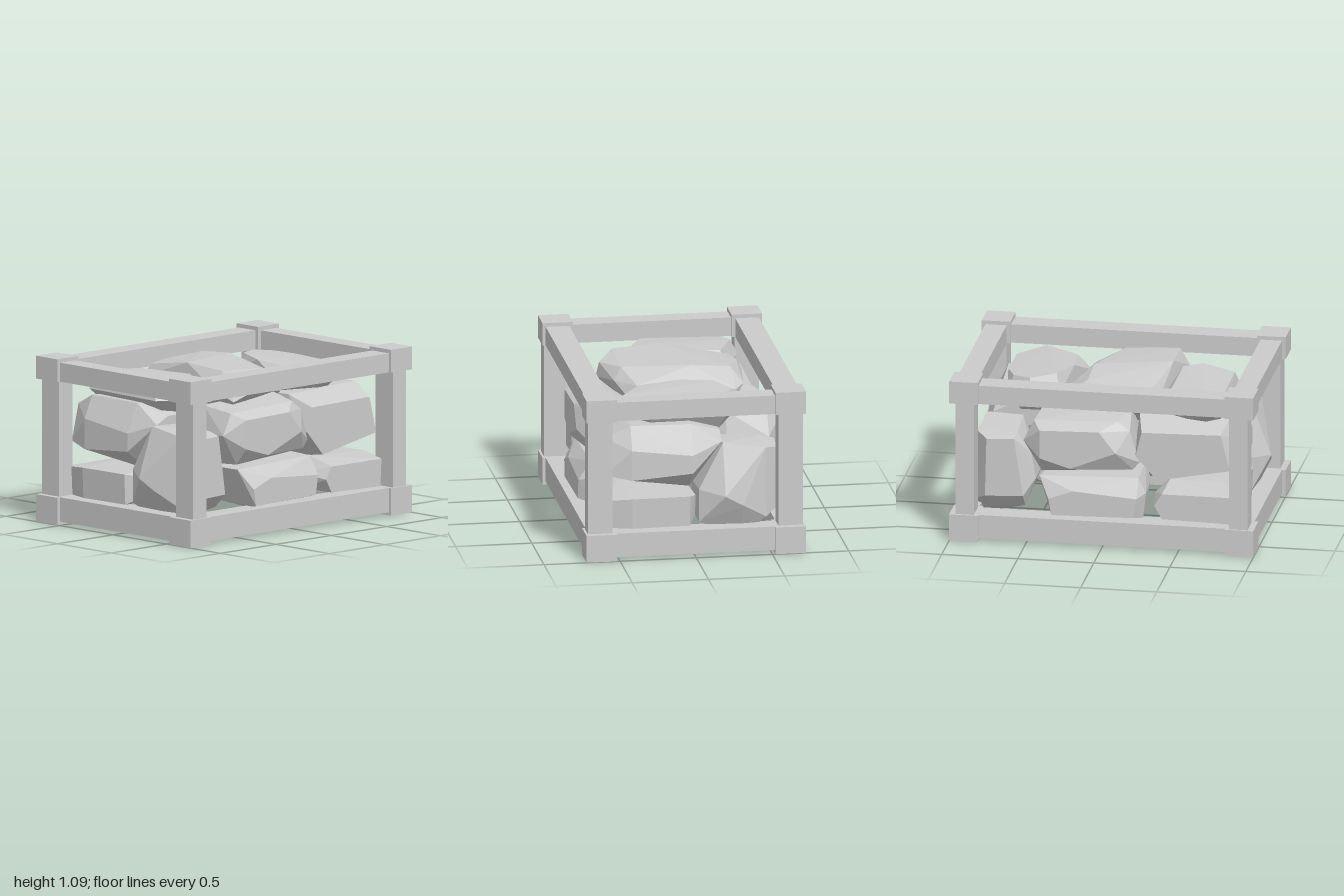
import * as THREE from 'three';
import { ConvexGeometry } from 'three/addons/geometries/ConvexGeometry.js';

const material = new THREE.MeshStandardMaterial({ color: 0xcccccc, flatShading: true });

function box(parent, name, size, pos) {
  const mesh = new THREE.Mesh(new THREE.BoxGeometry(...size), material);
  mesh.name = name;
  mesh.position.set(...pos);
  parent.add(mesh);
}

// Slab: hull around loose corners [x, y, z]
function slab(name, corners) {
  const mesh = new THREE.Mesh(new ConvexGeometry(corners.map((c) => new THREE.Vector3(...c))), material);
  mesh.name = name;
  return mesh;
}

// Faceted boulder: hull around cross-sections along z, each [z, [x, y], ...]
function rock(name, slices) {
  return slab(name, slices.flatMap(([z, ...outline]) => outline.map(([x, y]) => [x, y, z])));
}

function buildFrame() {
  const frame = new THREE.Group();
  frame.name = 'frame';
  for (const sx of [-1, 1]) {
    for (const sz of [-1, 1]) {
      box(frame, 'lowerCornerBlock', [0.19, 0.18, 0.2], [sx * 0.905, 0.09, sz * 0.62]);
      box(frame, 'upperCornerBlock', [0.19, 0.15, 0.2], [sx * 0.905, 1.015, sz * 0.62]);
      box(frame, 'post', [0.12, 0.8, 0.16], [sx * 0.9, 0.56, sz * 0.625]);
    }
    box(frame, 'lowerSideRail', [0.14, 0.16, 1.08], [sx * 0.905, 0.1, 0]);
    box(frame, 'upperSideRail', [0.14, 0.125, 1.08], [sx * 0.905, 1.0025, 0]);
    box(frame, 'lowerLongRail', [1.66, 0.16, 0.155], [0, 0.1, sx * 0.622]);
    box(frame, 'upperLongRail', [1.66, 0.125, 0.155], [0, 1.0025, sx * 0.622]);
  }
  return frame;
}

// Half of the pile: the rocks stacked along one long side
function buildPileHalf() {
  const half = new THREE.Group();
  half.name = 'pileHalf';
  half.add(
    rock('uprightSlab', [
      [0.57, [-0.79, 0.27], [-0.78, 0.66], [-0.6, 0.67], [-0.54, 0.28]],
      [0.48, [-0.87, 0.22], [-0.85, 0.68], [-0.59, 0.69], [-0.5, 0.55], [-0.47, 0.38], [-0.54, 0.19], [-0.76, 0.17]],
      [0.32, [-0.94, 0.32], [-0.82, 0.08]],
      [0.2, [-0.96, 0.39], [-0.84, 0.72], [-0.6, 0.71], [-0.47, 0.38], [-0.55, 0.19]],
      [0.04, [-0.86, 0.2], [-0.86, 0.42], [-0.55, 0.4], [-0.58, 0.2]],
    ]),
    rock('middleRock', [
      [0.64, [-0.42, 0.57], [-0.22, 0.51], [0.08, 0.63], [-0.03, 0.77], [-0.42, 0.76]],
      [0.55, [-0.54, 0.66], [-0.47, 0.8], [0.08, 0.82], [0.16, 0.76], [0.22, 0.55], [0.18, 0.5], [-0.42, 0.46]],
      [0.28, [-0.5, 0.65], [-0.45, 0.82], [0.13, 0.86], [0.22, 0.51], [-0.4, 0.44]],
      [0.02, [-0.35, 0.46], [-0.3, 0.76], [0.1, 0.78], [0.15, 0.45]],
    ]),
    rock('largeRock', [
      [0.57, [0.24, 0.76], [0.76, 0.77], [0.82, 0.53], [0.34, 0.44], [0.2, 0.6]],
      [0.4, [0.2, 0.83], [0.8, 0.85], [0.87, 0.7], [0.87, 0.5], [0.4, 0.41], [0.17, 0.6]],
      [0, [0.22, 0.83], [0.78, 0.84], [0.87, 0.65], [0.87, 0.53], [0.7, 0.4], [0.25, 0.4]],
      [-0.2, [0.3, 0.77], [0.7, 0.77], [0.8, 0.72], [0.6, 0.62]],
    ]),
    rock('lowerRock', [
      [0.65, [-0.36, 0.3], [-0.2, 0.36], [0.22, 0.33], [0.2, 0.2], [-0.34, 0.19]],
      [0.57, [-0.43, 0.43], [0.22, 0.45], [0.27, 0.35], [0.25, 0.18], [-0.32, 0.17]],
      [0.27, [-0.4, 0.42], [0.22, 0.46], [0.25, 0.34], [0.08, 0.17], [-0.3, 0.18]],
      [0.08, [-0.3, 0.43], [0.15, 0.45], [0.1, 0.3], [-0.2, 0.3]],
    ]),
    rock('flatRock', [
      [0.61, [0.33, 0.28], [0.38, 0.36], [0.83, 0.36], [0.82, 0.18], [0.38, 0.19]],
      [0.4, [0.3, 0.3], [0.4, 0.4], [0.89, 0.38], [0.88, 0.17], [0.5, 0.16], [0.32, 0.2]],
      [0.02, [0.4, 0.3], [0.45, 0.4], [0.88, 0.38], [0.87, 0.18], [0.5, 0.18]],
      [-0.03, [0.5, 0.34], [0.78, 0.36], [0.76, 0.22], [0.55, 0.22]],
    ]),
  );
  return half;
}

// Three slabs lying on top of the pile
function buildTopRocks() {
  const top = new THREE.Group();
  top.name = 'topRocks';
  top.add(
    slab('topRockRight', [
      [-0.74, 0.97, -0.42], [-0.63, 0.98, -0.48], [-0.39, 0.98, -0.38], [-0.4, 1.0, 0.1], [-0.52, 1.0, 0.18], [-0.74, 0.98, 0.1],
      [-0.77, 0.88, -0.46], [-0.64, 0.88, -0.53], [-0.3, 0.88, -0.39], [-0.36, 0.88, 0.18], [-0.56, 0.87, 0.28], [-0.77, 0.87, 0.16],
      [-0.65, 0.74, -0.35], [-0.35, 0.75, -0.3], [-0.42, 0.75, 0.15], [-0.62, 0.74, 0.1],
    ]),
    slab('topRockMiddle', [
      [-0.27, 0.99, -0.41], [-0.1, 1.0, -0.44], [0.15, 1.03, -0.36], [0.15, 1.05, -0.1], [0.02, 1.02, 0.34], [-0.18, 1.0, 0.45], [-0.34, 1.04, 0.34], [-0.35, 1.06, 0.02],
      [-0.32, 0.92, -0.4], [-0.15, 0.92, -0.48], [0.24, 0.94, -0.43], [0.33, 0.93, -0.37], [0.2, 0.94, 0.26], [0.05, 0.94, 0.39], [-0.2, 0.9, 0.47], [-0.41, 0.94, 0.3],
      [0.34, 0.85, -0.36], [0.22, 0.84, 0.3], [-0.32, 0.84, 0.42], [-0.3, 0.84, -0.3],
      [-0.2, 0.72, -0.2], [0.2, 0.72, -0.25], [0.1, 0.72, 0.2], [-0.2, 0.72, 0.25],
    ]),
    slab('topRockLeft', [
      [0.38, 1.01, -0.21], [0.54, 1.0, -0.3], [0.66, 0.99, -0.23], [0.72, 0.98, -0.08], [0.72, 0.97, 0.25], [0.55, 0.98, 0.42], [0.32, 0.98, 0.27], [0.3, 1.0, 0],
      [0.35, 0.89, -0.26], [0.53, 0.88, -0.36], [0.7, 0.88, -0.25], [0.74, 0.87, 0.27], [0.55, 0.88, 0.44], [0.23, 0.88, 0.28],
      [0.38, 0.75, -0.2], [0.62, 0.75, -0.2], [0.65, 0.75, 0.2], [0.36, 0.75, 0.22],
    ]),
  );
  return top;
}

export function createModel() {
  const model = new THREE.Group();
  model.name = 'rockCrate';
  const front = buildPileHalf();
  const back = buildPileHalf();
  back.rotation.y = Math.PI;
  model.add(buildFrame(), front, back, buildTopRocks());
  return model;
}
